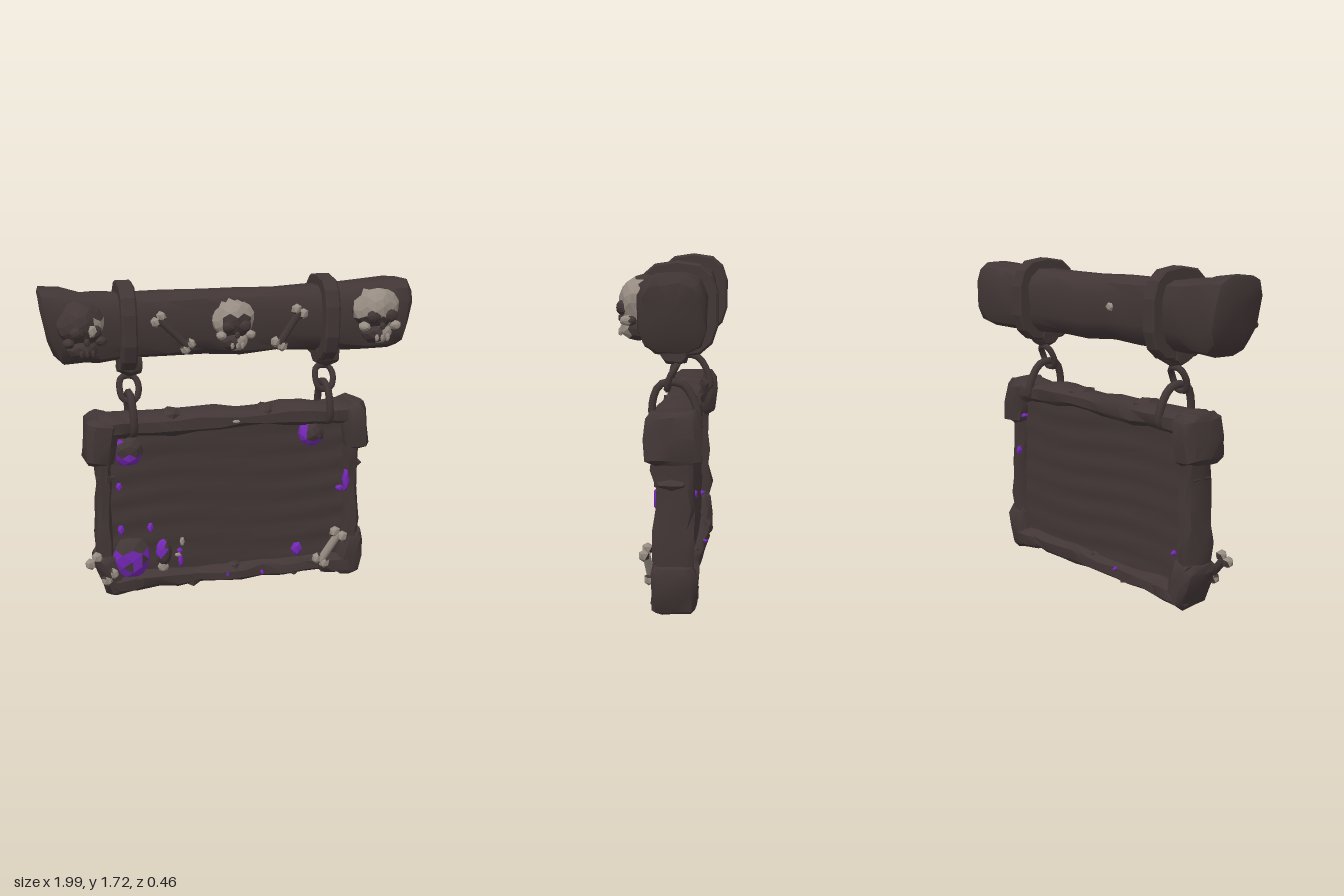
import * as THREE from 'three';
import { toCreasedNormals } from 'three/addons/utils/BufferGeometryUtils.js';

const paint = (name, color) => {
  const m = new THREE.MeshStandardMaterial({ color });
  m.name = name;
  return m;
};

export function createModel() {
  const model = new THREE.Group();
  const wood = paint('dark wood', 0x423636);
  const bone = paint('old bone', 0x978c82);
  const purple = paint('purple crystal', 0x7427b4);

  let seed = 7;
  const rnd = () => ((seed = (seed * 16807) % 2147483647) / 2147483647) * 2 - 1;
  const add = (name, geo, mat, parent = model) => {
    const mesh = new THREE.Mesh(geo, mat);
    mesh.name = name;
    parent.add(mesh);
    return mesh;
  };

  // Rough beam along x, from sections [x, y, z, half height, half depth, lean]
  function beam(sections, jitter = 0.008, sides = 12) {
    const pos = [], idx = [], n = sections.length;
    for (const [x, y, z, ry, rz, lean = 0] of sections) {
      for (let j = 0; j < sides; j++) {
        const a = ((j + 0.5) / sides) * Math.PI * 2;
        const c = Math.cos(a), s = Math.sin(a);
        const v = Math.sign(s) * Math.abs(s) ** 0.65, w = Math.sign(c) * Math.abs(c) ** 0.65;
        pos.push(x + lean * v + rnd() * jitter, y + ry * v + rnd() * jitter, z + rz * w + rnd() * jitter);
      }
    }
    for (const s of [sections[0], sections[n - 1]]) pos.push(s[0], s[1], s[2]);
    for (let j = 0; j < sides; j++) {
      const k = (j + 1) % sides, e = (n - 1) * sides;
      for (let i = 0; i < n - 1; i++) {
        const a = i * sides + j, b = a + sides, c = i * sides + k, d = c + sides;
        idx.push(a, b, c, b, d, c);
      }
      idx.push(n * sides, j, k, n * sides + 1, e + k, e + j);
    }
    const g = new THREE.BufferGeometry();
    g.setAttribute('position', new THREE.Float32BufferAttribute(pos, 3));
    g.setIndex(idx);
    return toCreasedNormals(g, 0.7);
  }

  // Straight rail with wobbling thickness
  function rail(length, ry, rz, steps = 11) {
    const s = [];
    for (let i = 0; i <= steps; i++) {
      s.push([(i / steps - 0.5) * length, rnd() * 0.008, rnd() * 0.008, ry + rnd() * 0.01, rz + rnd() * 0.012]);
    }
    return beam(s, 0.006, 10);
  }

  // Faceted lump whose faces are split between two materials by a rule
  function lump(name, [x, y, z], [rx, ry, rz], pick, mats, parent = model, detail = 1) {
    const g = new THREE.IcosahedronGeometry(1, detail), p = g.attributes.position;
    const c = new THREE.Vector3(), v = new THREE.Vector3();
    for (let t = 0; t < p.count; t += 3) {
      c.set(0, 0, 0);
      for (let k = 0; k < 3; k++) c.add(v.fromBufferAttribute(p, t + k));
      g.addGroup(t, 3, pick(c.multiplyScalar(1 / 3)) ? 1 : 0);
    }
    for (let i = 0; i < p.count; i++) {
      v.fromBufferAttribute(p, i);
      v.multiplyScalar(1 + 0.07 * Math.sin(v.x * 5 + x * 9) * Math.cos(v.y * 4 + v.z * 3));
      p.setXYZ(i, v.x * rx, v.y * ry, v.z * rz);
    }
    g.computeVertexNormals();
    const m = add(name, g, mats, parent);
    m.position.set(x, y, z);
    return m;
  }
  const chip = (name, x, y, z, rx, ry, rz, mat) => lump(name, [x, y, z], [rx, ry, rz], () => false, [mat, mat], model, 0);

  // Hanging log with swollen ends
  add('log', beam([
    [-0.97, 1.56, -0.04, 0.125, 0.125, -0.02], [-0.95, 1.54, -0.04, 0.175, 0.155, -0.03], [-0.88, 1.515, -0.04, 0.2, 0.16],
    [-0.77, 1.505, -0.04, 0.18, 0.155], [-0.69, 1.5, -0.04, 0.185, 0.14], [-0.55, 1.505, -0.04, 0.17, 0.13],
    [-0.35, 1.505, -0.04, 0.168, 0.13], [-0.15, 1.505, -0.04, 0.165, 0.13], [0.05, 1.5, -0.04, 0.168, 0.128],
    [0.25, 1.505, -0.04, 0.168, 0.128], [0.45, 1.505, -0.04, 0.17, 0.13], [0.62, 1.505, -0.04, 0.178, 0.135],
    [0.74, 1.505, -0.04, 0.185, 0.155], [0.88, 1.515, -0.04, 0.19, 0.16], [0.95, 1.52, -0.04, 0.18, 0.155, 0.02],
    [0.975, 1.53, -0.04, 0.125, 0.125, 0.02]], 0.008), wood);

  // Straps around the log, clamps and chain links
  const loop = (pts, r) => new THREE.TubeGeometry(
    new THREE.CatmullRomCurve3(pts.map((p) => new THREE.Vector3(...p)), true), 20, r, 6, true);
  for (const [x, side] of [[-0.55, -1], [0.52, 1]]) {
    const hanger = new THREE.Group();
    hanger.name = side < 0 ? 'rightHanger' : 'leftHanger';
    hanger.position.x = x;
    model.add(hanger);
    const ring = (hy, hz, cls) => {
      const s = new cls();
      for (let i = 0; i < 14; i++) {
        const a = ((i + 0.5) / 14) * Math.PI * 2, c = Math.cos(a), q = Math.sin(a);
        s.lineTo(-0.035 + 0 + hz * Math.sign(c) * Math.abs(c) ** 0.7, 1.505 + hy * Math.sign(q) * Math.abs(q) ** 0.7);
      }
      return s;
    };
    const outer = ring(0.222, 0.19, THREE.Shape);
    outer.curves.shift();
    outer.holes.push(ring(0.155, 0.12, THREE.Path));
    outer.holes[0].curves.shift();
    const strap = new THREE.ExtrudeGeometry(outer, { depth: 0.06, bevelSize: 0.01, bevelThickness: 0.01, bevelSegments: 1 });
    strap.rotateY(-Math.PI / 2).translate(0.03, 0, 0);
    add('strap', strap, wood, hanger).rotation.z = 0;
    const clamp = beam([[-0.06, 0, 0, 0.05, 0.055], [0, 0, 0, 0.07, 0.07], [0.06, 0, 0, 0.055, 0.06]], 0.006, 8);
    add('clamp', clamp, wood, hanger).position.set(0.015, 1.31, -0.02);
    add('upperLink', loop([[-0.045, 1.17, 0], [-0.03, 1.23, -0.03], [0.035, 1.23, -0.03], [0.055, 1.18, 0],
      [0.035, 1.12, 0.015], [-0.025, 1.12, 0.015]], 0.017), wood, hanger).position.x = 0.005;
    add('lowerLink', loop([[0.01, 1.14, 0.045], [0.01, 1.14, -0.055], [0.015, 1.07, -0.11], [0.02, 0.96, -0.13],
      [0.02, 0.93, -0.02], [0.02, 0.96, 0.08], [0.015, 1.07, 0.085]], 0.021), wood, hanger);
  }

  // Plank panel with shallow streaks
  const panel = new THREE.BoxGeometry(1.36, 0.88, 0.1, 10, 22, 1);
  const pp = panel.attributes.position;
  for (let i = 0; i < pp.count; i++) {
    const x = pp.getX(i), y = pp.getY(i), z = pp.getZ(i);
    pp.setZ(i, z + 0.005 * Math.sin(y * 47 + Math.sin(x * 5) * 1.3));
  }
  panel.computeVertexNormals();
  add('panel', panel, wood).position.set(0, 0.54, -0.03);

  // Frame rails
  const frame = new THREE.Group();
  frame.name = 'frame';
  model.add(frame);
  add('topRail', rail(1.36, 0.052, 0.1), wood, frame).position.set(0, 0.978, -0.03);
  add('bottomRail', rail(1.3, 0.055, 0.1), wood, frame).position.set(0, 0.098, -0.03);
  for (const s of [-1, 1]) {
    const r = add('sideRail', rail(0.8, 0.048, 0.1, 8).rotateZ(Math.PI / 2), wood, frame);
    r.position.set(s * 0.69, 0.55, -0.03);
  }

  // Rough corner blocks: centre x, y, half width, half height, tilt
  for (const [x, y, w, h, tilt] of [[-0.705, 0.905, 0.085, 0.125, -0.12], [0.7, 0.905, 0.08, 0.13, 0.1],
    [-0.665, 0.155, 0.075, 0.125, 0.3], [0.69, 0.15, 0.08, 0.125, -0.18]]) {
    const z = -0.03, d = y > 0.5 ? 0.14 : 0.12;
    const g = beam([[-h, 0, 0, w * 0.65, d * 0.7], [-h * 0.8, 0, 0, w * 0.95, d * 0.95], [0, 0, 0, w, d],
      [h * 0.75, 0, 0, w, d * 0.95], [h, 0, 0, w * 0.7, d * 0.75]], 0.01, 10).rotateZ(Math.PI / 2);
    const m = add('cornerBlock', g, wood, frame);
    m.position.set(x, y, z);
    m.rotation.z = tilt;
    const t = add('cornerFoot', beam([[-0.1, 0, 0, 0.045, 0.1], [-0.04, 0, 0, 0.062, 0.118], [0.05, 0, 0, 0.06, 0.115],
      [0.1, 0, 0, 0.045, 0.1]], 0.008, 10), wood, frame);
    t.position.set(x - Math.sign(x) * 0.07, y > 0.5 ? 0.975 : 0.093, z);
  }
  // Splintered bumps along the frame
  for (const [x, y] of [[-0.32, 1.02], [-0.22, 0.06], [0.2, 1.01], [0.36, 0.07], [0.7, 0.68], [-0.68, 0.7], [0.02, 0.13]])
    chip('splinter', x, y, -0.02, 0.06, 0.035, 0.1, wood);

  // Skulls, weathered so that only some faces show bone
  function skull(name, x, y, z, turn, s, pick, jawMat) {
    const g = new THREE.Group();
    g.name = name;
    g.position.set(x, y, z);
    g.rotation.y = turn;
    g.scale.setScalar(s);
    model.add(g);
    lump('cranium', [0, 0.035, 0], [0.125, 0.12, 0.12], pick, [wood, bone], g, 2);
    lump('jaw', [0, -0.085, 0.03], [0.08, 0.06, 0.085], (c) => c.z > 0.3 && jawMat === bone && c.x > -0.1, [wood, bone], g);
    for (const e of [-1, 1]) {
      lump('eyeSocket', [e * 0.045, 0.01, 0.1], [0.038, 0.035, 0.028], () => false, [wood, bone], g);
      lump('cheek', [e * 0.085, -0.045, 0.07], [0.03, 0.025, 0.04], (c) => c.z > -0.2, [wood, jawMat], g);
    }
    lump('noseHole', [0, -0.04, 0.108], [0.018, 0.022, 0.015], () => false, [wood, bone], g, 0);
    for (let i = -1; i <= 1; i++) lump('tooth', [i * 0.03, -0.1, 0.11], [0.012, 0.022, 0.012], () => true, [wood, jawMat], g, 0);
  }
  skull('leftSkull', 0.77, 1.525, 0.095, 0.05, 1.02, (c) => c.z > 0.1 && (c.y > -0.35 || c.x > 0.3) && c.y < 0.85, bone);
  skull('middleSkull', 0, 1.5, 0.075, 0, 0.9, (c) => c.z > 0.15 && ((c.y > 0.3 && c.x > -0.7 && c.x < 0.6) || Math.abs(c.x) > 0.6), bone);
  skull('rightSkull', -0.79, 1.505, 0.085, 0.2, 0.98, (c) => c.x > 0.35 && c.z > 0.5 && Math.abs(c.y) < 0.3, wood);
  chip('boneChip', -0.74, 1.52, 0.19, 0.025, 0.035, 0.015, bone);
  chip('boneChip', -0.77, 1.42, 0.17, 0.025, 0.02, 0.02, bone);

  // Long bones with knuckled ends
  function longBone(name, a, b, r, shaftMat, endMats) {
    const g = new THREE.Group();
    g.name = name;
    const A = new THREE.Vector3(...a), B = new THREE.Vector3(...b), d = B.clone().sub(A), len = d.length();
    g.position.copy(A).lerp(B, 0.5);
    g.quaternion.setFromUnitVectors(new THREE.Vector3(0, 1, 0), d.normalize());
    add('shaft', new THREE.CylinderGeometry(r, r, len, 6), shaftMat, g);
    [-1, 1].forEach((e, i) => {
      for (const s of [-1, 1])
        lump('knuckle', [s * r * 1.05, e * len * 0.5, 0], [r * 1.35, r * 1.5, r * 1.3], (c) => c.z > -0.5 && c.y * e > -0.6, [wood, endMats[i]], g, 0);
    });
    model.add(g);
  }
  longBone('logBone', [-0.4, 1.555, 0.125], [-0.25, 1.41, 0.13], 0.02, wood, [bone, bone]);
  longBone('logBone', [0.345, 1.565, 0.125], [0.235, 1.4, 0.125], 0.021, wood, [bone, bone]);
  longBone('rightCornerBone', [-0.77, 0.27, 0.11], [-0.685, 0.165, 0.1], 0.023, wood, [bone, bone]);
  longBone('leftCornerBone', [0.595, 0.3, 0.12], [0.5, 0.145, 0.105], 0.023, bone, [bone, bone]);

  // Crystal lumps half covered by dark crust
  const crust = [wood, purple];
  lump('crystalCluster', [-0.56, 0.24, 0.04], [0.105, 0.12, 0.07], (c) => c.z > 0.1 && (c.y < 0.3 || c.x < -0.4) && Math.sin(c.x * 7 + c.y * 4) > -0.75, crust);
  lump('crystalCluster', [-0.56, 0.84, 0.03], [0.08, 0.08, 0.06], (c) => c.y < -0.25 || (c.x < -0.3 && c.y > 0.6), crust);
  lump('crystalCluster', [0.45, 0.875, 0.03], [0.075, 0.075, 0.06], (c) => (c.y < -0.3 || c.x < -0.5) && c.x < 0.6, crust);
  lump('crystalCluster', [-0.38, 0.25, 0.03], [0.045, 0.08, 0.04], (c) => c.x < 0.2 && c.y > -0.2, crust);
  // Loose crystal shards: x, y, z, half width, half height
  for (const [x, y, z, w, h] of [[0.655, 0.59, 0.05, 0.022, 0.075], [0.625, 0.54, 0.03, 0.025, 0.02], [0.38, 0.195, 0.03, 0.035, 0.045],
    [-0.615, 0.65, 0.04, 0.018, 0.025], [-0.45, 0.4, 0.03, 0.018, 0.03], [-0.61, 0.4, 0.03, 0.02, 0.03], [-0.285, 0.19, 0.025, 0.016, 0.04],
    [-0.29, 0.25, 0.025, 0.018, 0.015], [-0.03, 0.1, 0.065, 0.018, 0.02], [0.17, 0.09, 0.065, 0.01, 0.012],
    [0.66, 0.62, -0.12, 0.015, 0.03], [0.62, 0.83, -0.11, 0.02, 0.015], [-0.6, 0.3, -0.08, 0.015, 0.015], [-0.2, 0.12, -0.125, 0.012, 0.012]])
    chip('crystalShard', x, y, z, w, h, 0.025, purple);
  // Loose bone bits
  for (const [x, y, z, w, h] of [[-0.385, 0.17, 0.04, 0.035, 0.035], [-0.275, 0.3, 0.025, 0.015, 0.03], [-0.3, 0.225, 0.025, 0.02, 0.012],
    [-0.2, 1.52, -0.165, 0.03, 0.025], [0.02, 0.976, 0.065, 0.025, 0.01]])
    chip('boneBit', x, y, z, w, h, 0.015, bone);

  return model;
}
